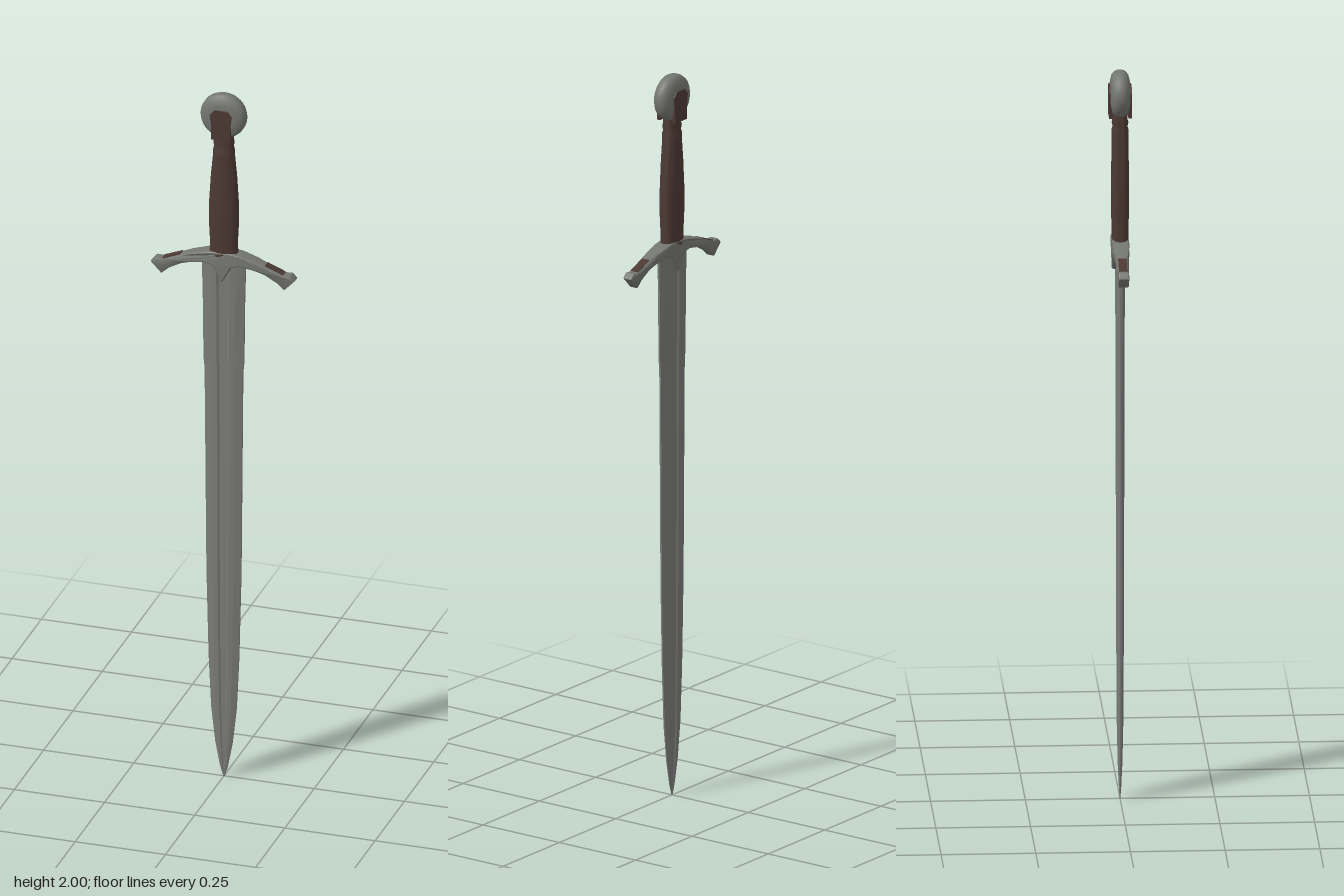
import * as THREE from 'three';
import { toCreasedNormals } from 'three/addons/utils/BufferGeometryUtils.js';

// Skin a stack of horizontal rings (bottom to top), each running from +x to +z
function loft(rings, crease) {
  const n = rings[0].length, pos = [], idx = [];
  rings.forEach(r => r.forEach(p => pos.push(...p)));
  for (let i = 0; i < rings.length - 1; i++) {
    for (let j = 0; j < n; j++) {
      const a = i * n + j, b = i * n + (j + 1) % n;
      idx.push(a, a + n, b, b, a + n, b + n);
    }
  }
  const top = (rings.length - 1) * n;
  for (let j = 1; j < n - 1; j++) {
    idx.push(0, j, j + 1, top, top + j + 1, top + j);
  }
  const g = new THREE.BufferGeometry();
  g.setAttribute('position', new THREE.Float32BufferAttribute(pos, 3));
  g.setIndex(idx);
  return toCreasedNormals(g, crease);
}

export function createModel() {
  const sword = new THREE.Group();
  sword.name = 'sword';
  const bladeSteel = new THREE.MeshStandardMaterial({ color: 0x7a7b77 });
  bladeSteel.name = 'blade steel';
  const fittingSteel = new THREE.MeshStandardMaterial({ color: 0x747670 });
  fittingSteel.name = 'fitting steel';
  const leather = new THREE.MeshStandardMaterial({ color: 0x4c3833 });
  leather.name = 'brown leather';

  const add = (name, geometry, material) => {
    const mesh = new THREE.Mesh(geometry, material);
    mesh.name = name;
    sword.add(mesh);
    return mesh;
  };

  // Blade: bevelled edges and a central fuller; rows are y, half width, half thickness
  const bladeRows = [
    [0, 0.002, 0.001], [0.03, 0.011, 0.003], [0.1, 0.024, 0.006], [0.2, 0.035, 0.008],
    [0.35, 0.042, 0.009], [0.6, 0.048, 0.01], [1.19, 0.053, 0.011],
    [1.22, 0.056, 0.011], [1.4, 0.058, 0.012], [1.52, 0.061, 0.012],
  ];
  const halfSection = [[1, 0.25], [0.6, 0.9], [0.3, 1], [0.2, 0.65], [-0.2, 0.65], [-0.3, 1], [-0.6, 0.9], [-1, 0.25]];
  const section = [...halfSection, ...halfSection.map(([x, z]) => [-x, -z])];
  add('blade', loft(bladeRows.map(([y, w, t]) => section.map(([x, z]) => [x * w, y, z * t])), 0.25), bladeSteel);

  // Crossguard: drooping arms with flared ends and a pointed middle
  const guardTop = [[0.2, 1.484], [0.188, 1.497], [0.168, 1.496], [0.115, 1.517], [0.09, 1.526], [0.05, 1.537], [0.02, 1.542]];
  const guardBottom = [[0.012, 1.475], [0.026, 1.5], [0.05, 1.507], [0.09, 1.499], [0.115, 1.49], [0.15, 1.471], [0.17, 1.453]];
  const flip = list => list.map(([x, y]) => [-x, y]).reverse();
  const outline = [...guardTop, ...flip(guardTop), ...flip(guardBottom), [0, 1.455], ...guardBottom];
  const guardShape = new THREE.Shape(outline.map(([x, y]) => new THREE.Vector2(x, y)));
  const guard = new THREE.ExtrudeGeometry(guardShape, {
    depth: 0.02, bevelEnabled: true, bevelSize: 0.003, bevelThickness: 0.004, bevelOffset: -0.003, bevelSegments: 2,
  });
  guard.translate(0, 0, -0.01);
  const gp = guard.attributes.position;
  for (let i = 0; i < gp.count; i++) { // thicken towards the grip
    const k = THREE.MathUtils.clamp((0.116 - Math.abs(gp.getX(i))) / 0.05, 0, 1);
    gp.setZ(i, gp.getZ(i) * (1 + 0.6 * k));
  }
  add('crossguard', toCreasedNormals(guard, 0.6), fittingSteel);

  // Worn brown patches on top of both arms
  for (const s of [1, -1]) {
    const patch = add('guardPatch', new THREE.BoxGeometry(0.054, 0.004, 0.023), leather);
    patch.position.set(s * 0.142, 1.506, 0);
    patch.rotation.z = -s * 0.378;
  }

  // Grip: rounded, swelling at the middle, with a ribbed neck; rows as for the blade
  const gripRows = [
    [1.525, 0.04, 0.022], [1.56, 0.037, 0.022], [1.62, 0.04, 0.024], [1.68, 0.04, 0.024],
    [1.76, 0.035, 0.023], [1.82, 0.029, 0.022], [1.84, 0.028, 0.022], [1.847, 0.026, 0.019],
    [1.858, 0.028, 0.022], [1.87, 0.026, 0.019], [1.9, 0.026, 0.022],
  ];
  const gripRing = ([y, w, t]) => Array.from({ length: 20 }, (_, j) => {
    const a = j / 20 * Math.PI * 2, c = Math.cos(a), s = Math.sin(a);
    return [Math.sign(c) * Math.abs(c) ** 0.8 * w, y, Math.sign(s) * Math.abs(s) ** 0.8 * t];
  });
  add('grip', loft(gripRows.map(gripRing), 0.8), leather);

  // Wheel pommel
  const rim = [[0, -0.027], [0.034, -0.026], [0.05, -0.022], [0.059, -0.015], [0.063, -0.006]];
  const wheel = [...rim, ...rim.map(([r, z]) => [r, -z]).reverse()].map(([r, z]) => new THREE.Vector2(r, z));
  const pommel = new THREE.LatheGeometry(wheel, 40);
  pommel.rotateX(Math.PI / 2);
  pommel.translate(0, 1.937, 0);
  add('pommel', pommel, fittingSteel);

  // Leather tabs running up both faces of the pommel
  const tabShape = new THREE.Shape([
    [-0.026, 1.875], [0.026, 1.875], [0.027, 1.92], [0.03, 1.945], [0.018, 1.96], [-0.018, 1.96], [-0.03, 1.945], [-0.027, 1.92],
  ].map(p => new THREE.Vector2(...p)));
  for (const s of [1, -1]) {
    const tab = new THREE.ExtrudeGeometry(tabShape, { depth: 0.009, bevelEnabled: false });
    tab.translate(0, 0, s > 0 ? 0.021 : -0.03);
    add('pommelTab', tab, leather);
  }
  return sword;
}
